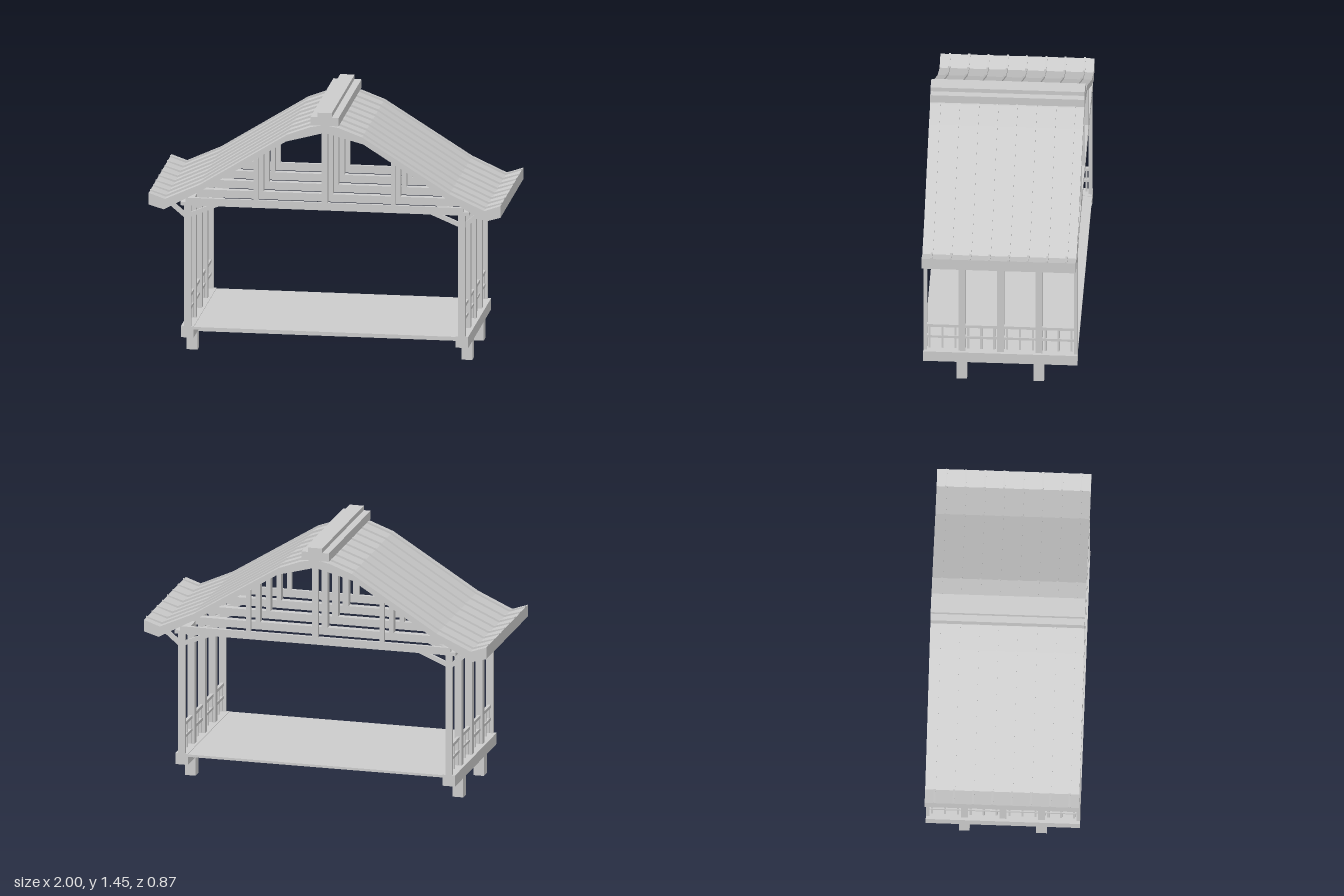
import * as THREE from 'three';

const material = new THREE.MeshStandardMaterial({ color: 0xcccccc, flatShading: true });
const HALF = 0.434; // half the depth of the pavilion

export function createModel() {
  const model = new THREE.Group();
  model.name = 'pavilion';

  const add = (name, geometry, parent = model) => {
    const mesh = new THREE.Mesh(geometry, material);
    mesh.name = name;
    parent.add(mesh);
    return mesh;
  };
  // Box given by its limits on each axis
  const box = (name, x0, x1, y0, y1, z0, z1, parent) => {
    const mesh = add(name, new THREE.BoxGeometry(x1 - x0, y1 - y0, z1 - z0), parent);
    mesh.position.set((x0 + x1) / 2, (y0 + y1) / 2, (z0 + z1) / 2);
    return mesh;
  };
  // The same box on the +x and -x sides
  const pair = (name, x0, x1, y0, y1, z0, z1, parent) => {
    box(name, x0, x1, y0, y1, z0, z1, parent);
    box(name, -x1, -x0, y0, y1, z0, z1, parent);
  };
  // Slanted bar in the xy plane, mirrored to both sides
  const braces = (name, x0, y0, x1, y1, thick, depth, z, parent) => {
    for (const s of [1, -1]) {
      const dx = s * (x1 - x0), dy = y1 - y0;
      const bar = add(name, new THREE.BoxGeometry(Math.hypot(dx, dy), thick, depth), parent);
      bar.position.set((s * (x0 + x1)) / 2, (y0 + y1) / 2, z);
      bar.rotation.z = Math.atan2(dy, dx);
    }
  };
  // Symmetric bent strip between an upper and a lower half profile, extruded along z
  const strip = (name, top, bottom, depth, z, parent) => {
    const mirror = (pts) => pts.slice(1).reverse().map(([x, y]) => [-x, y]).concat(pts);
    const outline = [...mirror(bottom), ...mirror(top).reverse()];
    const shape = new THREE.Shape(outline.map(([x, y]) => new THREE.Vector2(x, y)));
    const mesh = add(name, new THREE.ExtrudeGeometry(shape, { depth, bevelEnabled: false }), parent);
    mesh.position.z = z - depth / 2;
  };

  // Feet, sills, joists and floor
  for (const z of [-0.217, 0.217]) pair('foot', 0.75, 0.812, 0, 0.125, z - 0.03, z + 0.03);
  pair('sill', 0.744, 0.817, 0.118, 0.183, -HALF, HALF);
  for (const z of [-0.217, 0, 0.217]) box('joist', -0.76, 0.76, 0.105, 0.15, z - 0.02, z + 0.02);
  box('floor', -0.75, 0.75, 0.166, 0.18, -HALF, HALF);

  // Five frames of columns, tie beam, roof posts and braces; the end ones are thinner
  for (let i = -2; i <= 2; i++) {
    const depth = Math.abs(i) === 2 ? 0.02 : 0.04;
    const z = Math.abs(i) === 2 ? Math.sign(i) * (HALF - 0.01) : i * 0.217;
    const z0 = z - depth / 2, z1 = z + depth / 2;
    const frame = new THREE.Group();
    frame.name = 'frame';
    model.add(frame);
    pair('column', 0.76, 0.8, 0.18, 0.89, z0, z1, frame);
    box('tieBeam', -0.79, 0.79, 0.886, 0.93, z0, z1, frame);
    box('kingPost', -0.018, 0.018, 0.92, 1.35, z0, z1, frame);
    pair('sidePost', 0.377, 0.403, 0.92, 1.175, z0, z1, frame);
    braces('innerBrace', 0.78, 0.825, 0.56, 0.917, 0.025, depth * 0.9, z, frame);
    braces('outerBrace', 0.785, 0.82, 0.88, 0.9, 0.025, depth * 0.9, z, frame);
  }
  pair('wallPlate', 0.755, 0.82, 0.885, 0.905, -HALF, HALF);

  // Railings on both short sides
  pair('topRail', 0.771, 0.789, 0.334, 0.352, -HALF, HALF);
  pair('middleRail', 0.771, 0.789, 0.26, 0.276, -HALF, HALF);
  for (let bay = -1.5; bay <= 1.5; bay++) {
    for (const step of [-0.073, 0, 0.073]) {
      const z = bay * 0.218 + step;
      pair('baluster', 0.774, 0.786, 0.19, 0.336, z - 0.006, z + 0.006);
    }
  }

  // Curved roof slab with eight raised ribs
  const roofTop = [[0, 1.382], [0.08, 1.368], [0.214, 1.318], [0.71, 1.008], [0.908, 0.918], [1, 0.95]];
  const roofBottom = [[0, 1.337], [0.22, 1.278], [0.7, 0.975], [0.914, 0.857], [1, 0.882]];
  strip('roof', roofTop, roofBottom, 2 * HALF, 0);
  const lift = [0.012, 0.012, 0.012, 0.012, 0.012, 0.007];
  const ribTop = roofTop.map(([x, y], i) => [x, y + lift[i]]);
  const ribBottom = roofTop.map(([x, y]) => [x, y - 0.01]);
  for (let i = -3.5; i <= 3.5; i++) strip('roofRib', ribTop, ribBottom, 0.012, i * 0.1085);

  // Stepped ridge
  box('ridgeBase', -0.08, 0.08, 1.378, 1.427, -HALF, HALF);
  box('ridgeCap', -0.041, 0.041, 1.427, 1.453, -HALF, HALF);

  return model;
}
